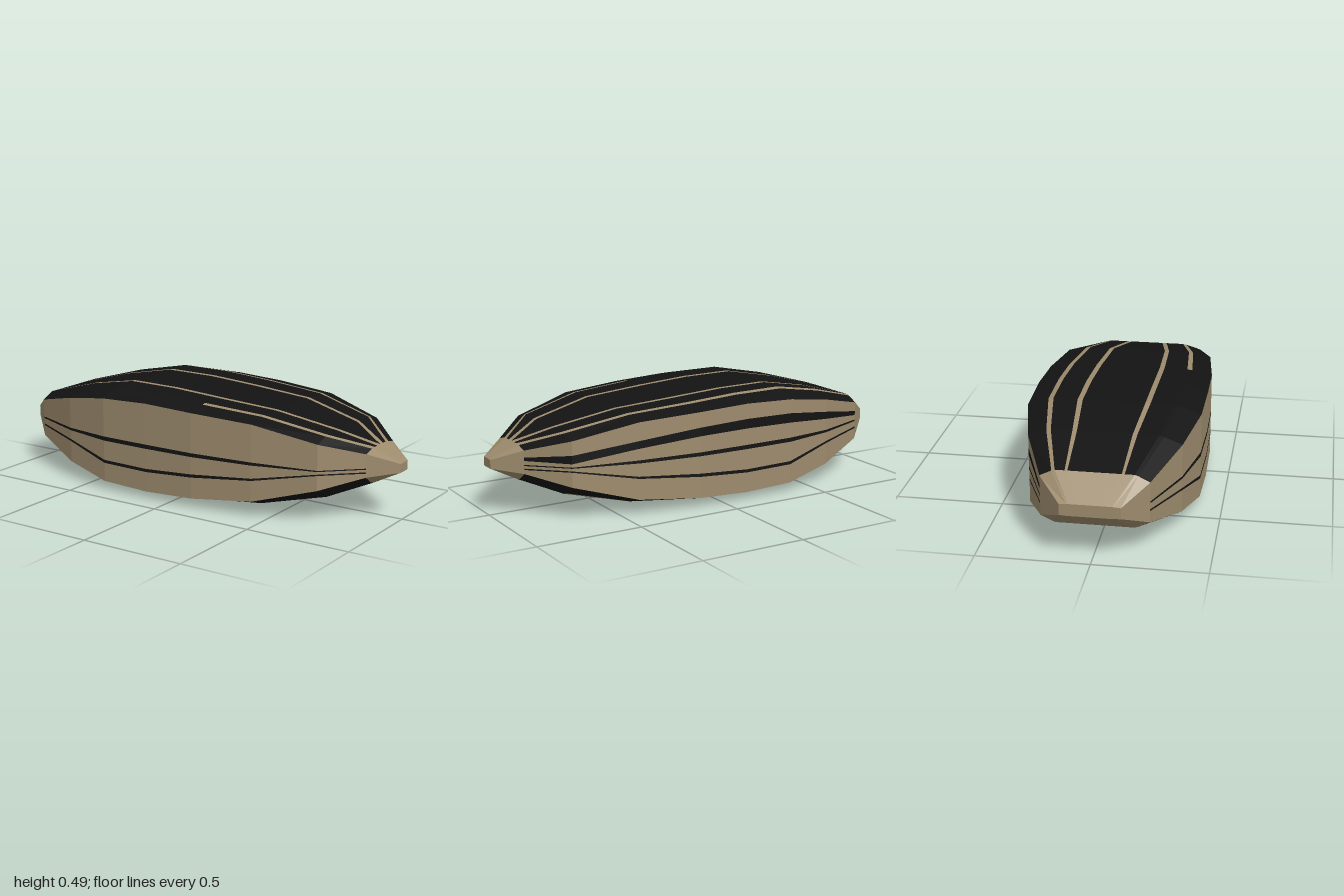
import * as THREE from 'three';

// Cross-sections along the seed:
// x, half width, lowest y, side foot, lower stripe (2), middle stripe (2), upper stripe (2), side head, highest y
const STATIONS = [
  [-1, 0.13, 0.22, 0.222, 0.23, 0.232, 0.245, 0.247, 0.255, 0.26, 0.272, 0.275],
  [-0.88, 0.235, 0.125, 0.155, 0.208, 0.216, 0.244, 0.252, 0.275, 0.295, 0.34, 0.37],
  [-0.62, 0.34, 0.05, 0.085, 0.188, 0.198, 0.243, 0.255, 0.31, 0.345, 0.405, 0.44],
  [-0.37, 0.395, 0.005, 0.042, 0.132, 0.147, 0.242, 0.262, 0.335, 0.38, 0.447, 0.487],
  [-0.12, 0.4, 0, 0.035, 0.13, 0.145, 0.242, 0.262, 0.34, 0.385, 0.457, 0.485],
  [0.13, 0.395, 0.015, 0.045, 0.145, 0.16, 0.242, 0.26, 0.335, 0.375, 0.447, 0.47],
  [0.43, 0.36, 0.04, 0.075, 0.172, 0.182, 0.243, 0.257, 0.31, 0.345, 0.43, 0.45],
  [0.72, 0.28, 0.105, 0.155, 0.224, 0.23, 0.242, 0.247, 0.262, 0.3, 0.365, 0.39],
  [0.88, 0.13, 0.163, 0.205, 0.224, 0.23, 0.242, 0.247, 0.265, 0.28, 0.312, 0.328],
  [1, 0.035, 0.223, 0.224, 0.23, 0.232, 0.242, 0.246, 0.25, 0.255, 0.264, 0.265],
];

// Where the outer and inner stripes cross the broad faces, as fractions of the half width
function stripeFractions(x) {
  if (x === 0.88) return [0.6, 0.4, 0.22, 0];
  if (x === 0.72) return [0.75, 0.68, 0.37, 0.29];
  if (x === -0.88) return [0.78, 0.72, 0.54, 0.49];
  return [0.76, 0.7, 0.42, 0.36];
}

// One closed ring: front side up, top to the back, back side down, bottom to the front
function makeRing([x, w, low, ...rest]) {
  const high = rest.pop(), side = rest;
  const foot = side[0], head = side[side.length - 1];
  const f = stripeFractions(x);
  const across = (edge, peak) => {
    const half = f.map((k, i) => [k * w, i === 0 ? peak + (edge - peak) * 0.15 : peak]);
    return [...half, ...half.slice().reverse().map(([z, y]) => [-z, y])];
  };
  return [
    ...side.map((y) => [w, y]),
    ...across(head, high),
    ...side.slice().reverse().map((y) => [-w, y]),
    ...across(foot, low).reverse(),
  ].map(([z, y]) => new THREE.Vector3(x, y, z));
}

// Stripes: ring column -> [name, first segment, last segment]
const STRIPES = {
  1: ['sideStripes', 1, 7], 3: ['sideStripes', 1, 7],
  17: ['sideStripes', 1, 7], 19: ['sideStripes', 1, 7], 21: ['sideStripes', 1, 7],
  8: ['topStripes', 5, 7], 10: ['topStripes', 1, 7],
  12: ['topStripes', 1, 7], 14: ['topStripes', 1, 7],
  24: ['bottomStripes', 1, 6], 26: ['bottomStripes', 1, 6], 28: ['bottomStripes', 1, 5],
};

function partName(segment, column) {
  if (segment === 0) return 'bluntEnd';
  if (segment === STATIONS.length - 2) return 'pointedEnd';
  const s = STRIPES[column];
  if (s && segment >= s[1] && segment <= s[2]) return s[0];
  if (column < 7) return 'frontSide';
  if (column < 16) return 'topFace';
  if (column < 23) return 'backSide';
  return 'bottomFace';
}

export function createModel() {
  const group = new THREE.Group();
  group.name = 'stripedSeed';
  const pale = new THREE.MeshStandardMaterial({ color: 0x9d8b6d, flatShading: true });
  const dark = new THREE.MeshStandardMaterial({ color: 0x131313, flatShading: true });
  const darkParts = ['topFace', 'bottomFace', 'sideStripes'];

  const rings = STATIONS.map(makeRing);
  const n = rings[0].length;
  const parts = {};
  const addTriangle = (name, ...corners) => (parts[name] ??= []).push(...corners);

  // Shell skin, sorted into named parts
  for (let i = 0; i < rings.length - 1; i++) {
    for (let j = 0; j < n; j++) {
      const k = (j + 1) % n;
      const a = rings[i][j], b = rings[i + 1][j], c = rings[i + 1][k], d = rings[i][k];
      const name = partName(i, j);
      addTriangle(name, a, b, c);
      addTriangle(name, a, c, d);
    }
  }

  // Closed tips
  const first = rings[0], last = rings[rings.length - 1];
  const middle = (ring) => ring.reduce((s, p) => s.add(p), new THREE.Vector3()).divideScalar(n);
  const firstMid = middle(first), lastMid = middle(last);
  for (let j = 0; j < n; j++) {
    const k = (j + 1) % n;
    addTriangle('bluntEnd', firstMid, first[j], first[k]);
    addTriangle('pointedEnd', lastMid, last[k], last[j]);
  }

  for (const [name, points] of Object.entries(parts)) {
    const geometry = new THREE.BufferGeometry().setFromPoints(points);
    geometry.computeVertexNormals();
    const mesh = new THREE.Mesh(geometry, darkParts.includes(name) ? dark : pale);
    mesh.name = name;
    group.add(mesh);
  }
  return group;
}
